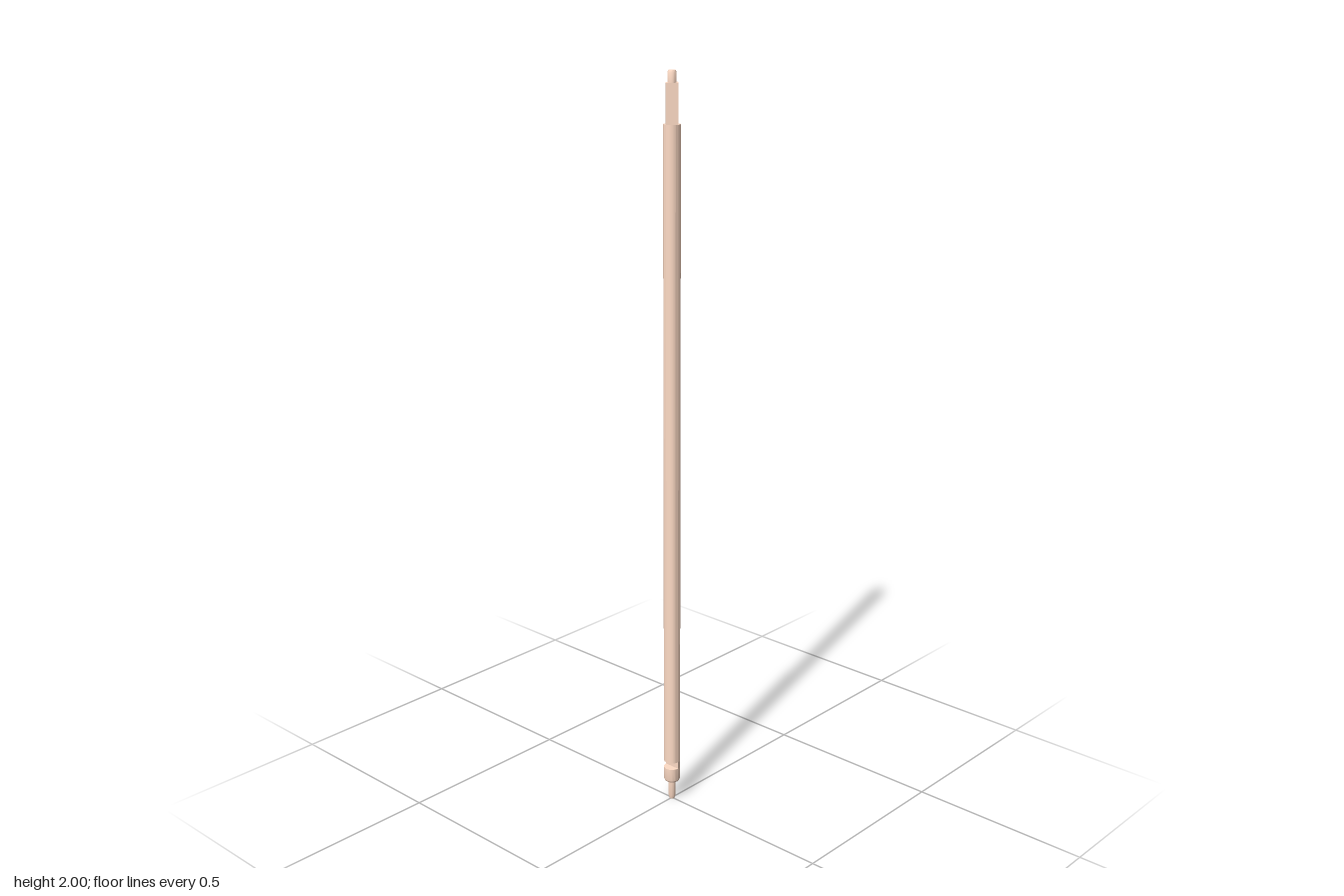
import * as THREE from 'three';
import { toCreasedNormals } from 'three/addons/utils/BufferGeometryUtils.js';

const R = 0.0225;    // shaft radius
const SIDES = 16;

export function createModel() {
  const model = new THREE.Group();
  const material = new THREE.MeshStandardMaterial({ color: 0xffdcc6 });

  const add = (name, geometry) => {
    const mesh = new THREE.Mesh(toCreasedNormals(geometry, 0.6), material);
    mesh.name = name;
    model.add(mesh);
  };
  // Turned solid from [radius, y] pairs, listed bottom to top
  const turned = (profile, sides) =>
    new THREE.LatheGeometry(profile.map(([r, y]) => new THREE.Vector2(r, y)), sides);

  // Long shaft above the notch, very slightly tapered
  add('shaft', turned([[0, 0.119], [R, 0.119], [R - 0.0005, 1.87], [0, 1.87]], SIDES));

  // Collar below the notch
  add('lowerCollar', turned([[0, 0.058], [R - 0.003, 0.058], [R, 0.063], [R, 0.099], [0, 0.099]], SIDES));

  // Half-round web left beside the notch, which is cut in from -x
  const half = new THREE.Shape();
  for (let i = 0; i <= SIDES / 2; i++) {
    const a = -Math.PI / 2 + (i * 2 * Math.PI) / SIDES;
    half[i ? 'lineTo' : 'moveTo'](R * Math.cos(a), R * Math.sin(a));
  }
  half.closePath();
  const web = new THREE.ExtrudeGeometry(half, { depth: 0.02, bevelEnabled: false });
  web.rotateX(-Math.PI / 2).translate(0, 0.099, 0);
  add('notchWeb', web);

  // Square drive end, corners on the x and z axes
  add('squareEnd', turned([[0, 1.87], [R - 0.0005, 1.87], [R - 0.0005, 1.97], [0, 1.97]], 4));

  // Round tip on top
  add('topTip', turned([[0, 1.97], [0.0115, 1.97], [0.0115, 1.994], [0.009, 2], [0, 2]], SIDES));

  // Locating pin at the foot
  add('bottomPin', turned([[0, 0], [0.007, 0], [0.0105, 0.012], [0.0105, 0.058], [0, 0.058]], SIDES));

  return model;
}
